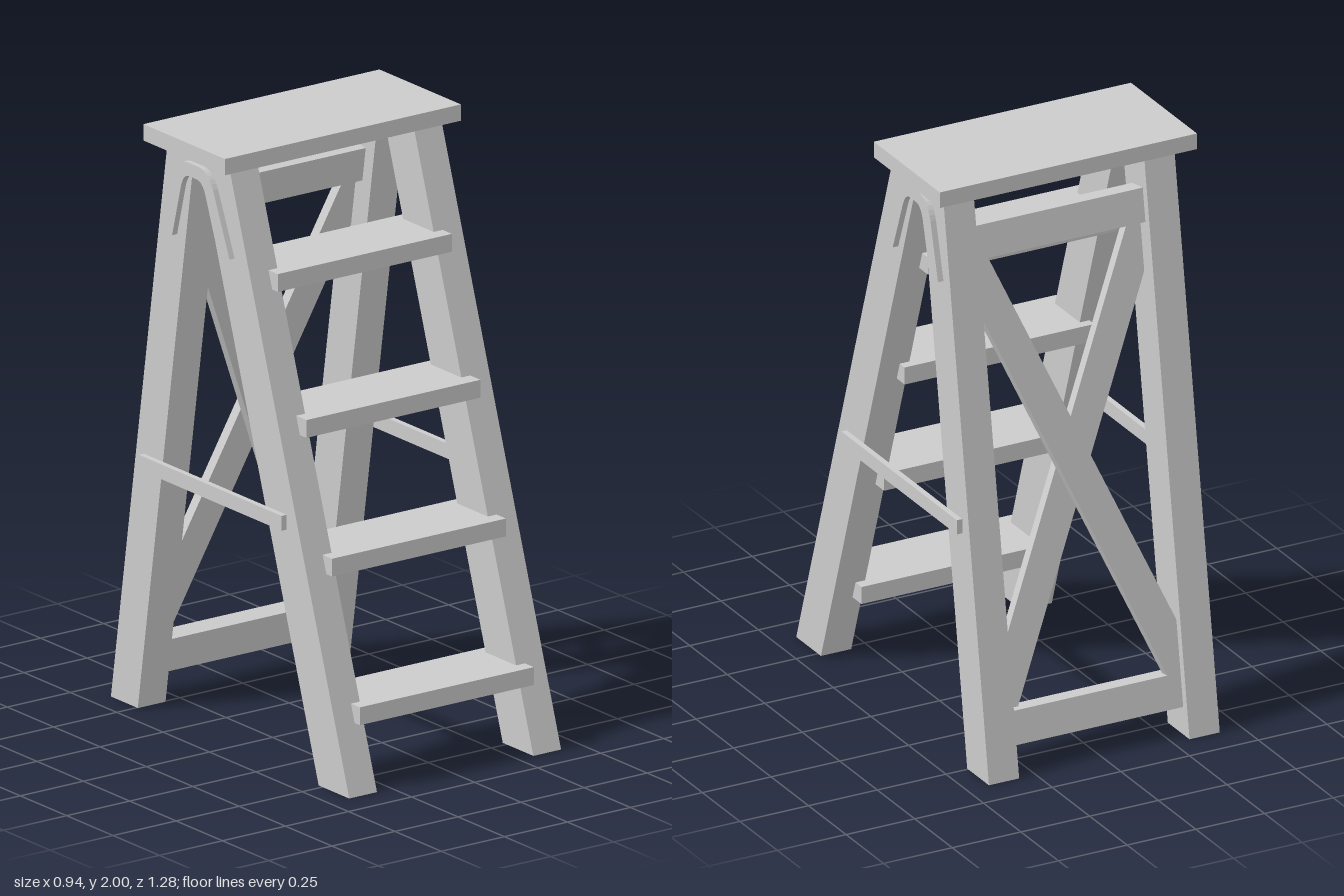
import * as THREE from 'three';

const material = new THREE.MeshStandardMaterial({ color: 0xcccccc, flatShading: true });

export function createModel() {
  const ladder = new THREE.Group();
  ladder.name = 'stepladder';

  const add = (name, geometry, parent = ladder) => {
    const mesh = new THREE.Mesh(geometry, material);
    mesh.name = name;
    parent.add(mesh);
    return mesh;
  };

  // Box given by its x, y and z limits
  const block = (name, [x0, x1], [y0, y1], [z0, z1], parent) => {
    const mesh = add(name, new THREE.BoxGeometry(x1 - x0, y1 - y0, z1 - z0), parent);
    mesh.position.set((x0 + x1) / 2, (y0 + y1) / 2, (z0 + z1) / 2);
    return mesh;
  };

  const polygon = (points) => new THREE.Shape(points.map(([a, b]) => new THREE.Vector2(a, b)));

  // Side profile drawn in (z, y), extruded across x and repeated on both sides
  const sidePair = (name, shape, inner, outer) => {
    const geometry = new THREE.ExtrudeGeometry(shape, { depth: outer - inner, bevelEnabled: false, curveSegments: 8 });
    geometry.rotateY(-Math.PI / 2);
    add(name + 'Left', geometry).position.x = outer;
    add(name + 'Right', geometry).position.x = -inner;
  };

  // Top board
  block('topBoard', [-0.468, 0.468], [1.945, 2], [-0.4, 0.04]);

  // Leaning legs
  sidePair('frontLeg', polygon([[0.645, 0], [0, 1.945], [-0.165, 1.945], [0.48, 0]]), 0.31, 0.42);
  sidePair('rearLeg', polygon([[-0.495, 0], [-0.19, 1.945], [-0.335, 1.945], [-0.64, 0]]), 0.31, 0.42);

  // Treads: bottom height and front edge
  [[0.22, 0.6], [0.68, 0.45], [1.11, 0.312], [1.56, 0.158]].forEach(([y, z], i) =>
    block('tread' + (i + 1), [-0.345, 0.345], [y, y + 0.06], [z - 0.253, z]));

  // Spreader bars between front and rear legs
  for (const [side, x] of [['Left', 0.42], ['Right', -0.44]])
    block('spreaderBar' + side, [x, x + 0.02], [0.815, 0.865], [-0.462, 0.308]);

  // Arched hinge straps
  const strap = new THREE.Shape();
  strap.moveTo(0.027, 1.652);
  strap.lineTo(-0.055, 1.845);
  strap.quadraticCurveTo(-0.085, 1.92, -0.145, 1.92);
  strap.lineTo(-0.19, 1.92);
  strap.quadraticCurveTo(-0.265, 1.92, -0.287, 1.845);
  strap.lineTo(-0.337, 1.652);
  strap.lineTo(-0.283, 1.652);
  strap.lineTo(-0.238, 1.82);
  strap.quadraticCurveTo(-0.225, 1.875, -0.19, 1.875);
  strap.lineTo(-0.15, 1.875);
  strap.quadraticCurveTo(-0.118, 1.875, -0.1, 1.825);
  strap.lineTo(-0.035, 1.652);
  strap.closePath();
  sidePair('hingeStrap', strap, 0.42, 0.44);

  // Rear frame, tilted with the rear legs
  const rearFrame = new THREE.Group();
  rearFrame.name = 'rearFrame';
  rearFrame.position.z = -0.5775;
  rearFrame.rotation.x = Math.atan(0.157);
  ladder.add(rearFrame);

  block('lowerRail', [-0.31, 0.31], [0.0925, 0.2075], [-0.035, 0.035], rearFrame);
  block('upperRail', [-0.31, 0.31], [1.717, 1.832], [-0.035, 0.035], rearFrame);

  // Crossed braces trimmed to the frame opening, one behind the other
  const bracePoints = [[-0.31, 0.2075], [-0.262, 0.2075], [0.31, 1.545], [0.31, 1.717], [0.262, 1.717], [-0.31, 0.385]];
  const braceOptions = { depth: 0.035, bevelEnabled: false };
  add('rearBrace', new THREE.ExtrudeGeometry(polygon(bracePoints), braceOptions), rearFrame).position.z = -0.035;
  const mirrored = bracePoints.map(([x, y]) => [-x, y]).reverse();
  add('frontBrace', new THREE.ExtrudeGeometry(polygon(mirrored), braceOptions), rearFrame);

  return ladder;
}
